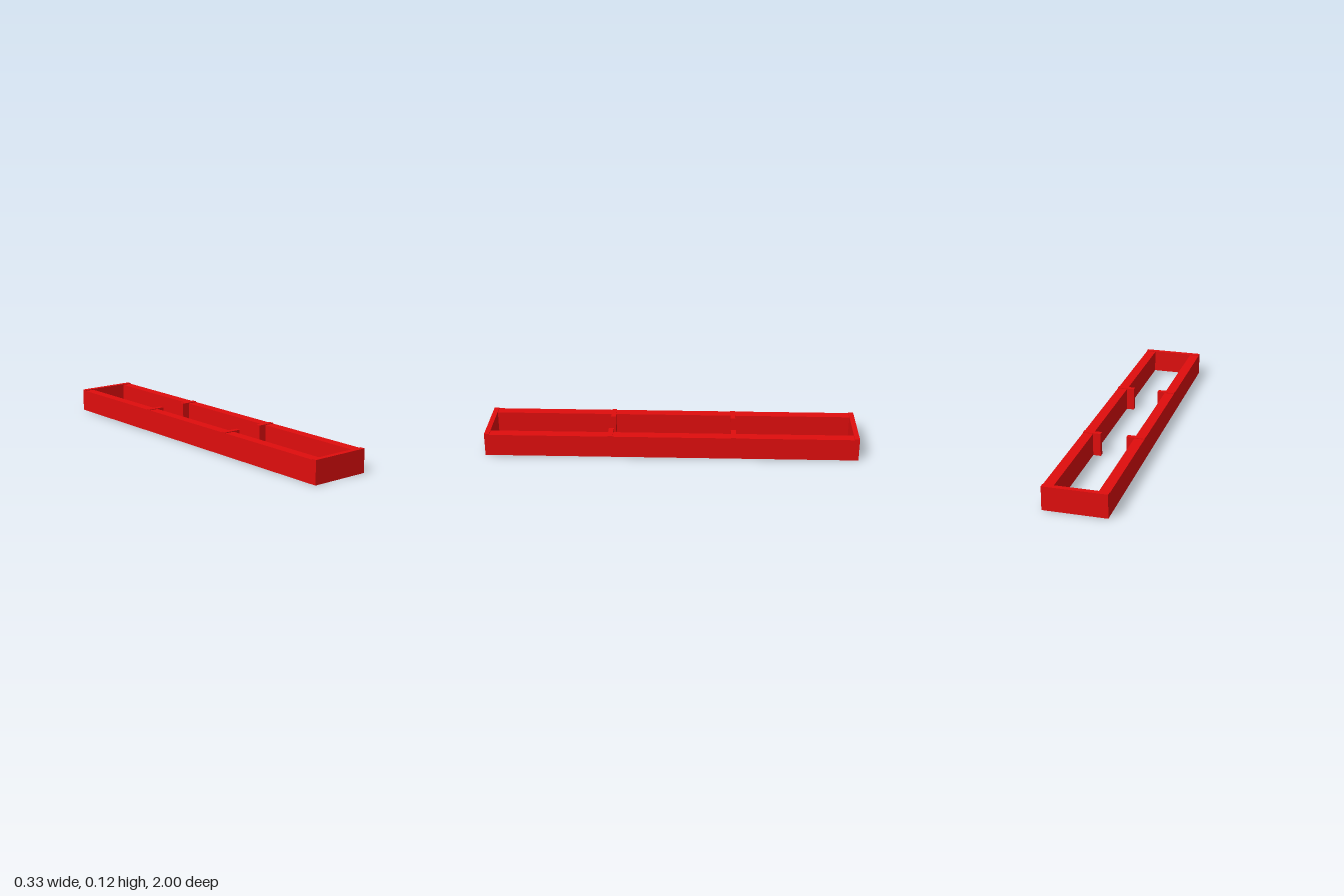
import * as THREE from 'three';

export function createModel() {
  const group = new THREE.Group();
  const material = new THREE.MeshStandardMaterial({ color: 0xe00d0d, flatShading: true });

  const H = 0.125;      // height of end boards and ribs
  const RAIL_H = 0.121; // rails sit slightly lower
  const W = 0.165;      // half width
  const T = 0.027;      // board thickness

  // Box given by its extents, standing on the ground
  function board(name, x0, x1, height, z0, z1) {
    const mesh = new THREE.Mesh(new THREE.BoxGeometry(x1 - x0, height, z1 - z0), material);
    mesh.position.set((x0 + x1) / 2, height / 2, (z0 + z1) / 2);
    mesh.name = name;
    group.add(mesh);
  }

  // End boards across the full width
  board('frontBoard', -W, W, H, 1 - T, 1);
  board('backBoard', -W, W, H, -1, -1 + T);

  // Long side rails, cut into three bays by ribs that reach inwards
  const ribs = [-0.345, 0.312];
  const starts = [-1 + T, ...ribs.map((z) => z + T)];
  const ends = [...ribs, 1 - T];
  for (const [side, s] of [['left', 1], ['right', -1]]) {
    const span = (inner) => (s > 0 ? [inner, W] : [-W, -inner]);
    starts.forEach((z, i) => board(`${side}Rail${i + 1}`, ...span(0.111), RAIL_H, z, ends[i]));
    ribs.forEach((z, i) => board(`${side}Rib${i + 1}`, ...span(0.07), H, z, z + T));
  }

  return group;
}
